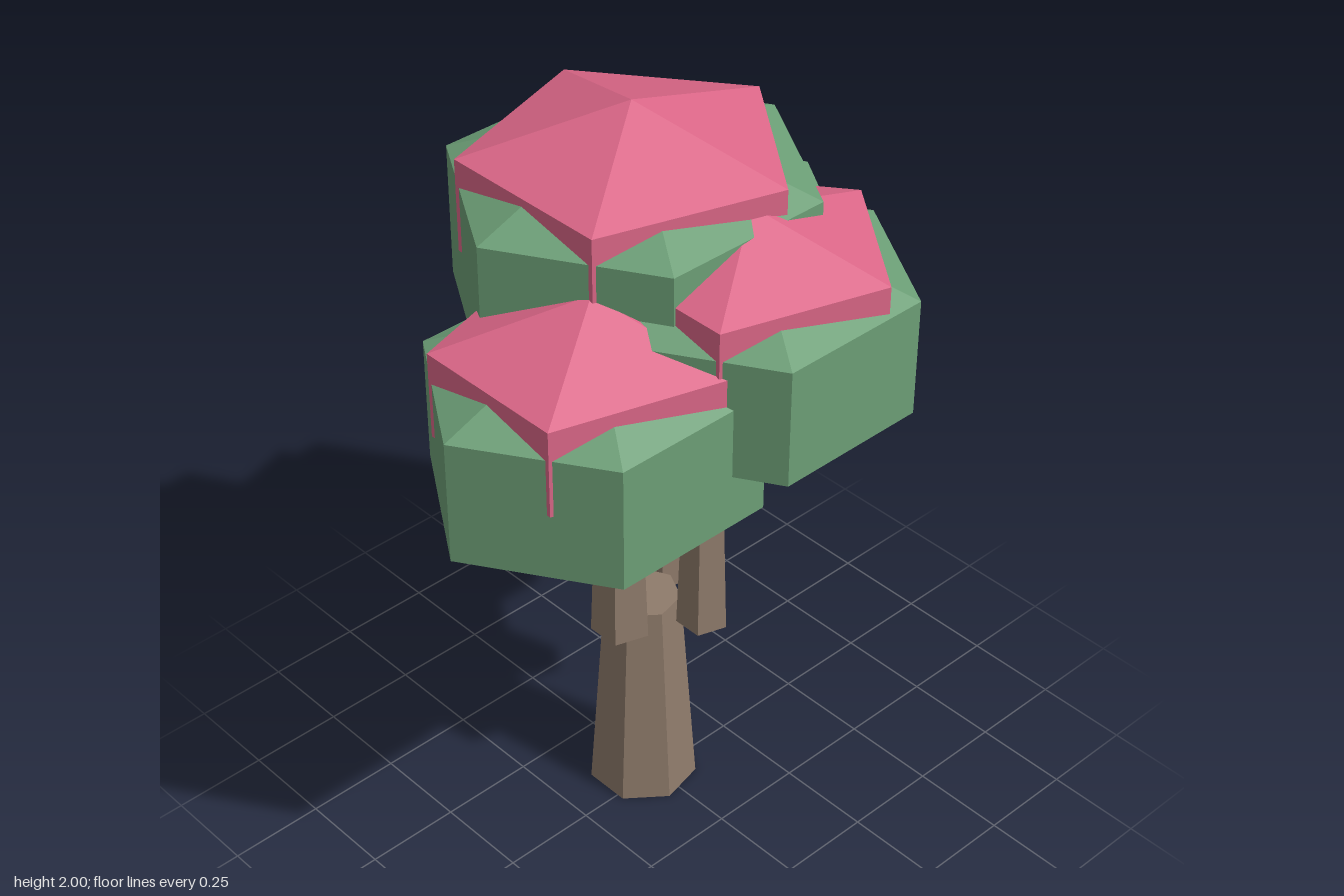
import * as THREE from 'three';

const bark = new THREE.MeshStandardMaterial({ color: 0x8f7b6b });
bark.name = 'bark';
const leaf = new THREE.MeshStandardMaterial({ color: 0x6c9e76 });
leaf.name = 'leaf green';
const blossom = new THREE.MeshStandardMaterial({ color: 0xdc6788 });
blossom.name = 'blossom pink';

// Faceted mesh: unshared corners give one normal per face
function facetedMesh(name, geometry, material) {
  const flat = geometry.toNonIndexed();
  flat.computeVertexNormals();
  const mesh = new THREE.Mesh(flat, material);
  mesh.name = name;
  return mesh;
}

// Tapered upright stem with a corner towards +x
function stem(name, sides, x, z, bottom, top, rBottom, rTop) {
  const g = new THREE.CylinderGeometry(rTop, rBottom, top - bottom, sides);
  g.rotateY(Math.PI / 2);
  const mesh = facetedMesh(name, g, bark);
  mesh.position.set(x, (bottom + top) / 2, z);
  return mesh;
}

// Three-band blob: a straight wall between two shallow cones.
// rx, rz are the wall radii; cap is the height of each cone (half the wall).
function blob(name, sides, x, y, z, rx, rz, cap, material) {
  const g = new THREE.SphereGeometry(1, sides, 3);
  g.rotateY(Math.PI);
  const ring = Math.sin(Math.PI / 3);
  g.scale(rx / ring, cap * 2, rz / ring);
  const mesh = facetedMesh(name, g, material);
  mesh.position.set(x, y, z);
  return mesh;
}

// Leaf clumps: centre, wall radius, depth ratio, blossom centre height
const clumps = [
  { name: 'top', x: -0.01, y: 1.639, z: -0.07, r: 0.456, depth: 0.965, capY: 1.759 },
  { name: 'right', x: 0.308, y: 1.295, z: -0.24, r: 0.44, depth: 0.913, capY: 1.41 },
  { name: 'left', x: -0.324, y: 1.378, z: 0.141, r: 0.424, depth: 0.904, capY: 1.502 },
  { name: 'front', x: 0.054, y: 1.508, z: 0.248, r: 0.403, depth: 0.954, capY: 1.627 },
];

// Branches: name, x, z, bottom, top, bottom radius, top radius
const branches = [
  ['topBranch', -0.105, -0.015, 0.556, 1.45, 0.077, 0.043],
  ['rightBranch', 0.164, -0.132, 0.515, 1.2, 0.075, 0.042],
  ['leftBranch', -0.245, 0.107, 0.937, 1.3, 0.064, 0.043],
  ['frontBranch', 0.063, 0.104, 0.556, 1.4, 0.067, 0.038],
];

export function createModel() {
  const tree = new THREE.Group();
  tree.name = 'blossomTree';

  tree.add(stem('trunk', 7, -0.01, -0.042, 0, 0.595, 0.142, 0.1));
  for (const [name, ...size] of branches) tree.add(stem(name, 5, ...size));

  for (const c of clumps) {
    const clump = new THREE.Group();
    clump.name = c.name + 'Clump';
    const rp = c.r * 0.884;
    clump.add(blob(c.name + 'Leaves', 6, c.x, c.y, c.z, c.r, c.r * c.depth * 0.999, c.r * 0.375, leaf));
    clump.add(blob(c.name + 'Blossom', 5, c.x, c.capY, c.z, rp, rp * c.depth, c.r * 0.263, blossom));
    tree.add(clump);
  }
  return tree;
}
